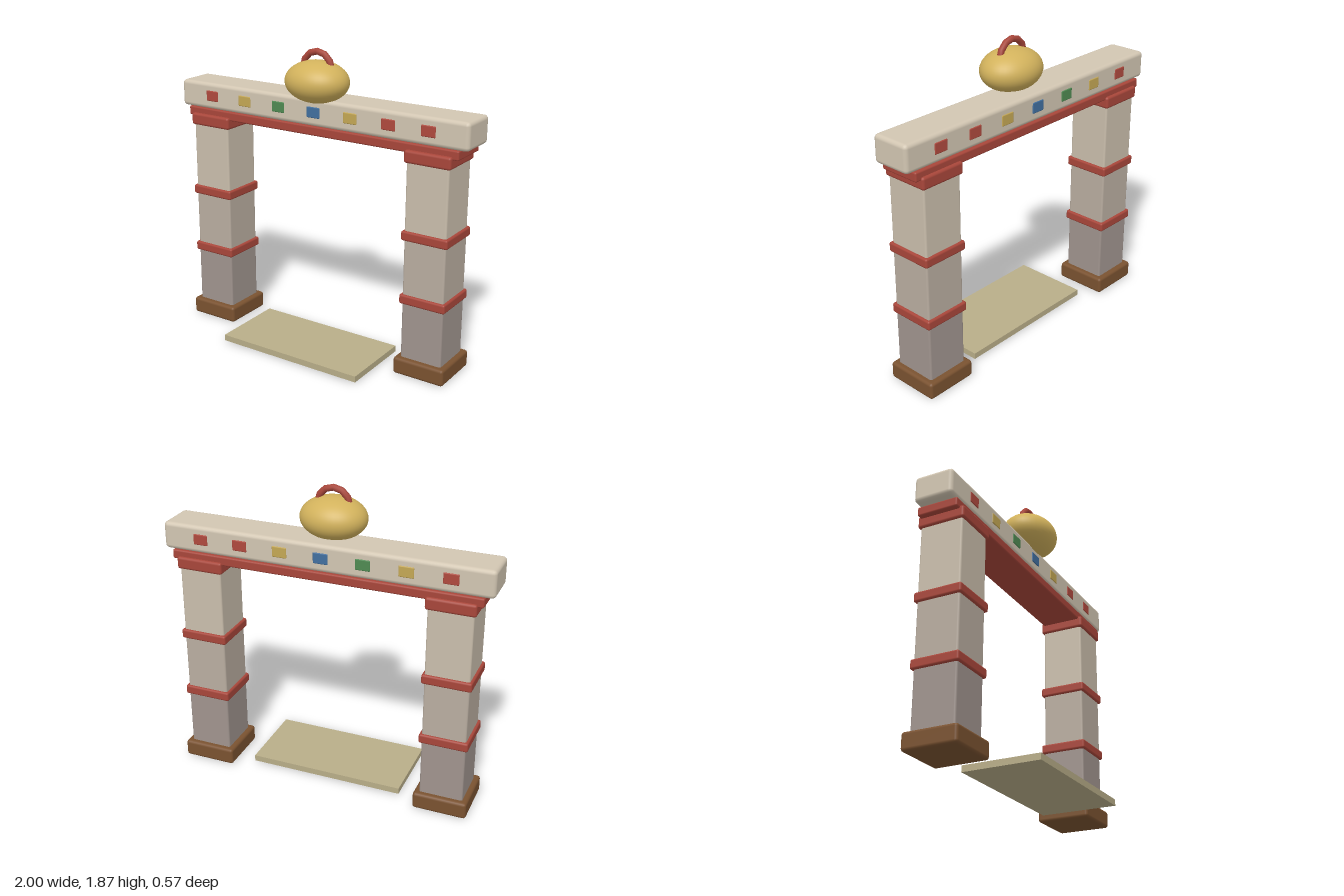
import * as THREE from 'three';
import { RoundedBoxGeometry } from 'three/addons/geometries/RoundedBoxGeometry.js';

const Z = -0.117; // depth centre of the gate
const paint = (color) => new THREE.MeshStandardMaterial({ color });
const RED = paint(0xa8463a);
const BROWN = paint(0x7a5230);
const STONE = paint(0xd2c6b2);
const GOLD = paint(0xd2b25c);
const SHAFT = [paint(0xa0948e), paint(0xb9ada0), paint(0xcabeac)];

export function createModel() {
  const model = new THREE.Group();

  const add = (parent, name, geometry, material, x, y, z) => {
    const mesh = new THREE.Mesh(geometry, material);
    mesh.name = name;
    mesh.position.set(x, y, z);
    parent.add(mesh);
    return mesh;
  };
  // rounded block given by its bottom and top heights
  const block = (parent, name, material, w, y0, y1, d, r, x = 0, z = Z) =>
    add(parent, name, new RoundedBoxGeometry(w, y1 - y0, d, 2, r), material, x, (y0 + y1) / 2, z);

  // Pillars: base, shaft sections that darken downwards, bands and capital
  for (const side of [-1, 1]) {
    const pillar = new THREE.Group();
    pillar.name = side > 0 ? 'leftPillar' : 'rightPillar';
    pillar.position.x = side * 0.765;
    model.add(pillar);
    block(pillar, 'base', BROWN, 0.33, 0, 0.105, 0.335, 0.018);
    const joints = [0.03, 0.478, 0.87, 1.35];
    SHAFT.forEach((m, i) =>
      block(pillar, 'shaftSection', m, 0.265, joints[i], joints[i + 1], 0.268, 0.012));
    for (const y of [0.478, 0.87])
      block(pillar, 'band', RED, 0.295, y - 0.029, y + 0.029, 0.297, 0.012);
    block(pillar, 'capital', RED, 0.292, 1.3, 1.375, 0.295, 0.015);
  }

  // Crossbeam with the red board beneath it
  block(model, 'lowerBeam', RED, 1.89, 1.355, 1.412, 0.255, 0.01, 0, -0.12);
  block(model, 'crossbeam', STONE, 2, 1.41, 1.575, 0.245, 0.025, 0, -0.118);

  // Coloured tiles on both faces of the beam
  const red = paint(0xb04a3e), yellow = paint(0xc4a754);
  const tiles = [red, yellow, paint(0x4f8a52), paint(0x416f9f), yellow, red, red];
  tiles.forEach((m, i) => {
    for (const s of [-1, 1])
      block(model, 'tile', m, 0.09, 1.462, 1.528, 0.02, 0.006, (i - 3) * 0.252, -0.118 + s * 0.117);
  });

  // Golden bell-like ornament with its handle
  const ornament = add(model, 'ornament', new THREE.SphereGeometry(1, 40, 28), GOLD, 0, 1.672, -0.038);
  ornament.scale.set(0.2, 0.125, 0.167);
  add(model, 'handle', new THREE.TorusGeometry(0.098, 0.02, 10, 6, Math.PI), RED, 0, 1.75, -0.04);

  // Floor slab lying between the pillars
  add(model, 'floorSlab', new THREE.BoxGeometry(0.97, 0.038, 0.475), paint(0xb8ad88), 0, 0.024, 0.047);

  return model;
}
